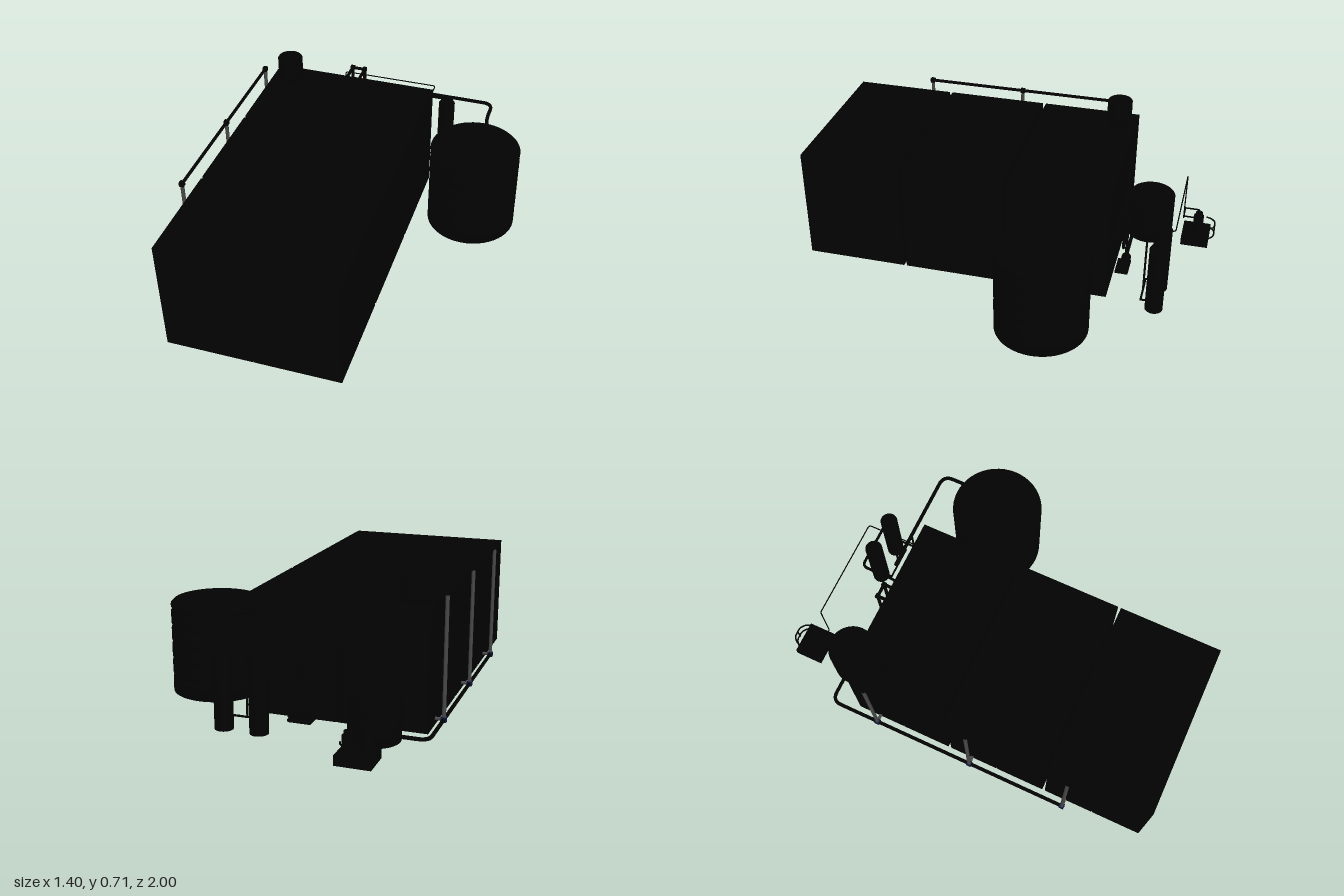
import * as THREE from 'three';

const mat = (color) => new THREE.MeshStandardMaterial({ color });
const black = mat(0x020202), grey = mat(0x484848), blue = mat(0x10153c);
const V = (p) => new THREE.Vector3(...p);

function add(parent, name, geometry, pos = [0, 0, 0], material = black) {
  const m = new THREE.Mesh(geometry, material);
  m.name = name;
  m.position.set(...pos);
  parent.add(m);
  return m;
}

// Box given by its min and max corners
function block(parent, name, a, b, material) {
  const size = a.map((v, i) => b[i] - v), mid = a.map((v, i) => (b[i] + v) / 2);
  return add(parent, name, new THREE.BoxGeometry(...size), mid, material);
}

const rod = (parent, name, r, x, y0, y1, z, material) =>
  add(parent, name, new THREE.CylinderGeometry(r, r, y1 - y0, 28), [x, (y0 + y1) / 2, z], material);

// Pipe through the given points with rounded elbows and closed ends
function pipe(parent, name, pts, r, bend = 0.03, material = black) {
  const p = pts.map(V), path = new THREE.CurvePath();
  let from = p[0];
  for (let i = 1; i < p.length - 1; i++) {
    const inDir = p[i].clone().sub(p[i - 1]), outDir = p[i + 1].clone().sub(p[i]);
    const d = Math.min(bend, inDir.length() * 0.45, outDir.length() * 0.45);
    const a = p[i].clone().addScaledVector(inDir.normalize(), -d);
    const b = p[i].clone().addScaledVector(outDir.normalize(), d);
    path.add(new THREE.LineCurve3(from, a));
    path.add(new THREE.QuadraticBezierCurve3(a, p[i].clone(), b));
    from = b;
  }
  path.add(new THREE.LineCurve3(from, p[p.length - 1]));
  const g = new THREE.Group();
  g.name = name;
  parent.add(g);
  path.curves.forEach((c) => {
    const n = c.isLineCurve3 ? 1 : 6;
    add(g, name + 'Section', new THREE.TubeGeometry(c, n, r, 10, false), [0, 0, 0], material);
  });
  for (const e of [p[0], p[p.length - 1]])
    add(g, name + 'End', new THREE.SphereGeometry(r, 10, 6), e.toArray(), material);
}

// Round tank with raised hoops and a shallow domed lid
function tank(parent, name, x, z, r, y0, y1, hoops, lidRise) {
  const g = new THREE.Group();
  g.name = name;
  g.position.set(x, 0, z);
  parent.add(g);
  const h = y1 - y0, groove = r * 0.025;
  const prof = [[0, y0], [r, y0]];
  for (let i = 1; i <= hoops; i++) {
    const y = y0 + (h * i) / (hoops + 0.3), s = h * 0.015;
    prof.push([r, y - 2 * s], [r - groove, y - s], [r - groove, y + s], [r, y + 2 * s]);
  }
  prof.push([r, y1], [r * 0.94, y1 + lidRise * 0.5], [r * 0.62, y1 + lidRise * 0.65],
    [r * 0.54, y1 + lidRise], [0, y1 + lidRise]);
  const geo = new THREE.LatheGeometry(prof.map((p) => new THREE.Vector2(...p)), 48);
  add(g, name + 'Shell', geo);
  return g;
}

// Container: recessed core covered by wall panels with narrow seams
function container(parent, z0, z1) {
  const g = new THREE.Group();
  g.name = 'container';
  parent.add(g);
  const x0 = -0.65, x1 = 0.185, y0 = 0.01, y1 = 0.58, t = 0.004, s = 0.002;
  block(g, 'core', [x0 + t, y0, z0 + t], [x1 - t, y1 - t, z1 - t]);
  block(g, 'roof', [x0, y1 - t, z0], [x1, y1, z1]);
  const xm = (x0 + x1) / 2, zm = (z0 + z1) / 2;
  for (const [a, b] of [[z0, zm - s], [zm + s, z1]]) {
    block(g, 'sidePanel', [x0, y0, a], [x0 + t, y1 - t, b]);
    block(g, 'sidePanel', [x1 - t, y0, a], [x1, y1 - t, b]);
  }
  for (const [a, b] of [[x0 + t, xm - s], [xm + s, x1 - t]]) {
    block(g, 'endPanel', [a, y0, z0], [b, y1 - t, z0 + t]);
    block(g, 'endPanel', [a, y0, z1 - t], [b, y1 - t, z1]);
  }
}

export function createModel() {
  const root = new THREE.Group();
  root.name = 'waterTreatmentPlant';

  for (const [a, b] of [[-0.537, -0.036], [-0.02, 0.483], [0.497, 1]]) container(root, a, b);

  // Tanks
  tank(root, 'largeTank', 0.472, -0.282, 0.223, 0.01, 0.445, 5, 0.027);
  tank(root, 'smallTank', -0.445, -0.66, 0.118, 0.01, 0.235, 3, 0.017);
  tank(root, 'roofTank', -0.558, -0.445, 0.063, 0.58, 0.695, 4, 0.011);

  // Side headers and risers
  const sx = -0.69;
  pipe(root, 'lowerHeader', [[sx, 0.04, 0.61], [sx, 0.04, -0.675], [-0.54, 0.04, -0.675]], 0.009, 0.05);
  pipe(root, 'upperHeader', [[sx, 0.62, 0.61], [sx, 0.62, -0.415]], 0.008);
  for (const z of [0.605, 0.1, -0.415]) {
    rod(root, 'riser', 0.009, sx, 0.04, 0.62, z, grey);
    pipe(root, 'wallStub', [[sx, 0.04, z], [-0.64, 0.04, z]], 0.008, 0.01, grey);
    block(root, 'upperJoint', [sx - 0.011, 0.609, z - 0.011], [sx + 0.011, 0.631, z + 0.011]);
    block(root, 'lowerJoint', [sx - 0.012, 0.028, z - 0.012], [sx + 0.012, 0.052, z + 0.012], blue);
  }

  // Twin pipes over the roof edge and down the back wall
  for (const x of [-0.255, -0.19]) {
    pipe(root, 'roofPipe', [[x, 0.57, -0.325], [x, 0.622, -0.325], [x, 0.622, -0.56], [x, 0.05, -0.56]], 0.008, 0.005);
    for (const z of [-0.325, -0.56])
      block(root, 'roofElbow', [x - 0.01, 0.612, z - 0.01], [x + 0.01, 0.632, z + 0.01]);
  }
  pipe(root, 'roofCrossPipe', [[-0.255, 0.622, -0.56], [-0.19, 0.622, -0.56]], 0.008);

  // Feed pump and control box
  block(root, 'pumpBase', [-0.13, 0.01, -0.61], [-0.02, 0.025, -0.545]);
  const motor = add(root, 'pumpMotor', new THREE.CylinderGeometry(0.024, 0.024, 0.1, 24), [-0.07, 0.049, -0.587]);
  motor.rotation.z = Math.PI / 2;
  block(root, 'controlBox', [-0.13, 0.2, -0.556], [-0.06, 0.3, -0.535]);
  pipe(root, 'suctionPipe', [[-0.36, 0.05, -0.585], [-0.1, 0.05, -0.585]], 0.009);

  // Filter columns with feed and outlet pipes
  for (const x of [0.045, 0.213]) {
    const prof = [[0, 0.01], [0.043, 0.01], [0.043, 0.355], [0.034, 0.368], [0, 0.37]];
    add(root, 'filterColumn', new THREE.LatheGeometry(prof.map((p) => new THREE.Vector2(...p)), 32), [x, 0, -0.773]);
    rod(root, 'columnNeck', 0.012, x, 0.36, 0.388, -0.773);
    pipe(root, 'columnOutlet', [[x, 0.05, -0.76], [x, 0.05, -0.708]], 0.005);
  }
  pipe(root, 'columnFeed', [[-0.072, 0.06, -0.59], [-0.072, 0.38, -0.59], [-0.072, 0.38, -0.773], [0.213, 0.38, -0.773]], 0.007, 0.03);
  pipe(root, 'outletManifold', [[0.045, 0.05, -0.708], [0.213, 0.05, -0.708]], 0.005);
  pipe(root, 'outletRiser', [[0.13, 0.05, -0.708], [0.13, 0.38, -0.708], [0.13, 0.38, -0.585], [0.13, 0.52, -0.585]], 0.005, 0.02);

  // Delivery pipe into the large tank
  pipe(root, 'deliveryPipe', [[-0.04, 0.52, -0.585], [0.49, 0.52, -0.585], [0.49, 0.52, -0.45], [0.49, 0.45, -0.45]], 0.009, 0.05);
  rod(root, 'tankInlet', 0.012, 0.49, 0.45, 0.482, -0.45);

  // Dosing skid with two pumps and its thin supply line
  const skid = new THREE.Group();
  skid.name = 'dosingSkid';
  root.add(skid);
  block(skid, 'skidBase', [-0.53, 0, -0.972], [-0.368, 0.045, -0.833]);
  for (const x of [-0.49, -0.41]) {
    rod(skid, 'dosingPump', 0.026, x, 0.045, 0.115, -0.908);
    rod(skid, 'dosingHead', 0.018, x, 0.115, 0.135, -0.908);
    pipe(skid, 'dosingOutlet', [[x, 0.13, -0.908], [x, 0.15, -0.908], [x, 0.15, -0.835]], 0.004, 0.01);
  }
  for (const y of [0.04, 0.098])
    pipe(skid, 'skidHose', [[-0.51, y, -0.95], [-0.5, y, -0.975], [-0.475, y, -0.995], [-0.425, y, -0.995], [-0.4, y, -0.975], [-0.39, y, -0.95]], 0.004, 0.015);
  rod(skid, 'hosePost', 0.004, -0.45, 0.03, 0.1, -0.995);
  pipe(root, 'dosingLine', [[-0.49, 0.15, -0.835], [-0.385, 0.15, -0.835], [-0.385, 0.41, -0.835], [0.13, 0.41, -0.835], [0.13, 0.41, -0.585]], 0.003, 0.015);

  return root;
}
